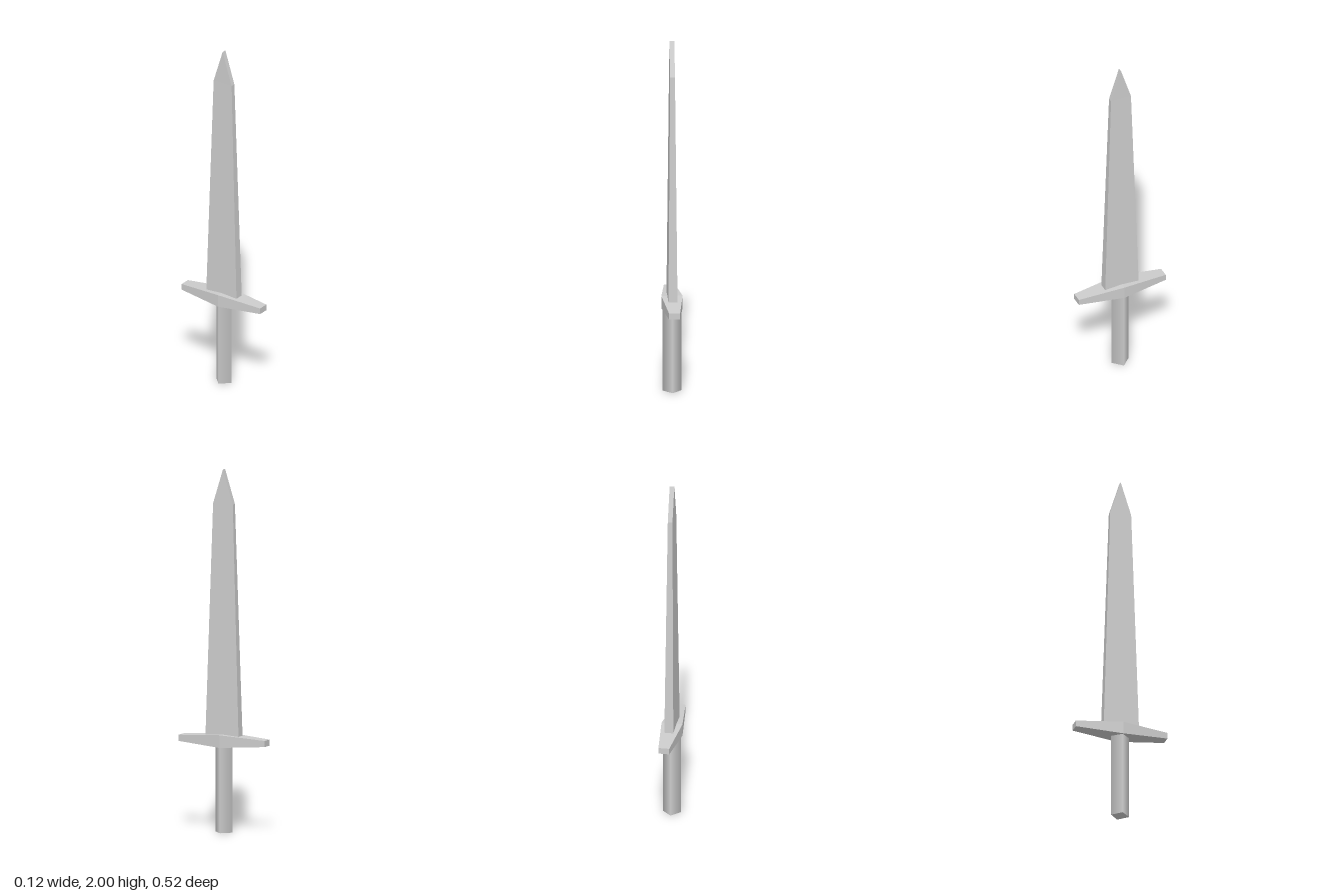
import * as THREE from 'three';

// Reshape a unit box by a rule on its vertices, then give it flat faces.
function shapedBox(segments, rule) {
  const geo = new THREE.BoxGeometry(2, 2, 2, ...segments);
  const p = geo.attributes.position;
  for (let i = 0; i < p.count; i++) {
    p.setXYZ(i, ...rule(p.getX(i), p.getY(i), p.getZ(i)));
  }
  const flat = geo.toNonIndexed();
  flat.computeVertexNormals();
  return flat;
}

export function createModel() {
  const sword = new THREE.Group();
  sword.name = 'sword';
  const steel = new THREE.MeshStandardMaterial({ color: 0xcccccc });
  steel.name = 'grey steel';

  const add = (name, geo) => {
    const mesh = new THREE.Mesh(geo, steel);
    mesh.name = name;
    sword.add(mesh);
    return mesh;
  };

  // Four-sided grip with softly shaded sides
  add('grip', new THREE.CylinderGeometry(0.051, 0.051, 0.5, 4)).position.y = 0.25;

  // Crossguard, thickest in the middle and tapering to both ends
  add('crossguard', shapedBox([1, 1, 2], (x, y, z) => {
    const end = Math.abs(z) > 0.5;
    return [x * (end ? 0.03 : 0.058), 0.506 + y * (end ? 0.017 : 0.035), z * 0.262];
  }));

  // Blade rows: height, half thickness, half width; the last closes to a ridge
  const rows = [[0.52, 0.025, 0.101], [1.81, 0.013, 0.06], [2, 0.013, 0]];
  add('blade', shapedBox([1, 2, 1], (x, y, z) => {
    const [height, thick, wide] = rows[Math.round(y) + 1];
    return [x * thick, height, z * wide];
  }));

  return sword;
}
